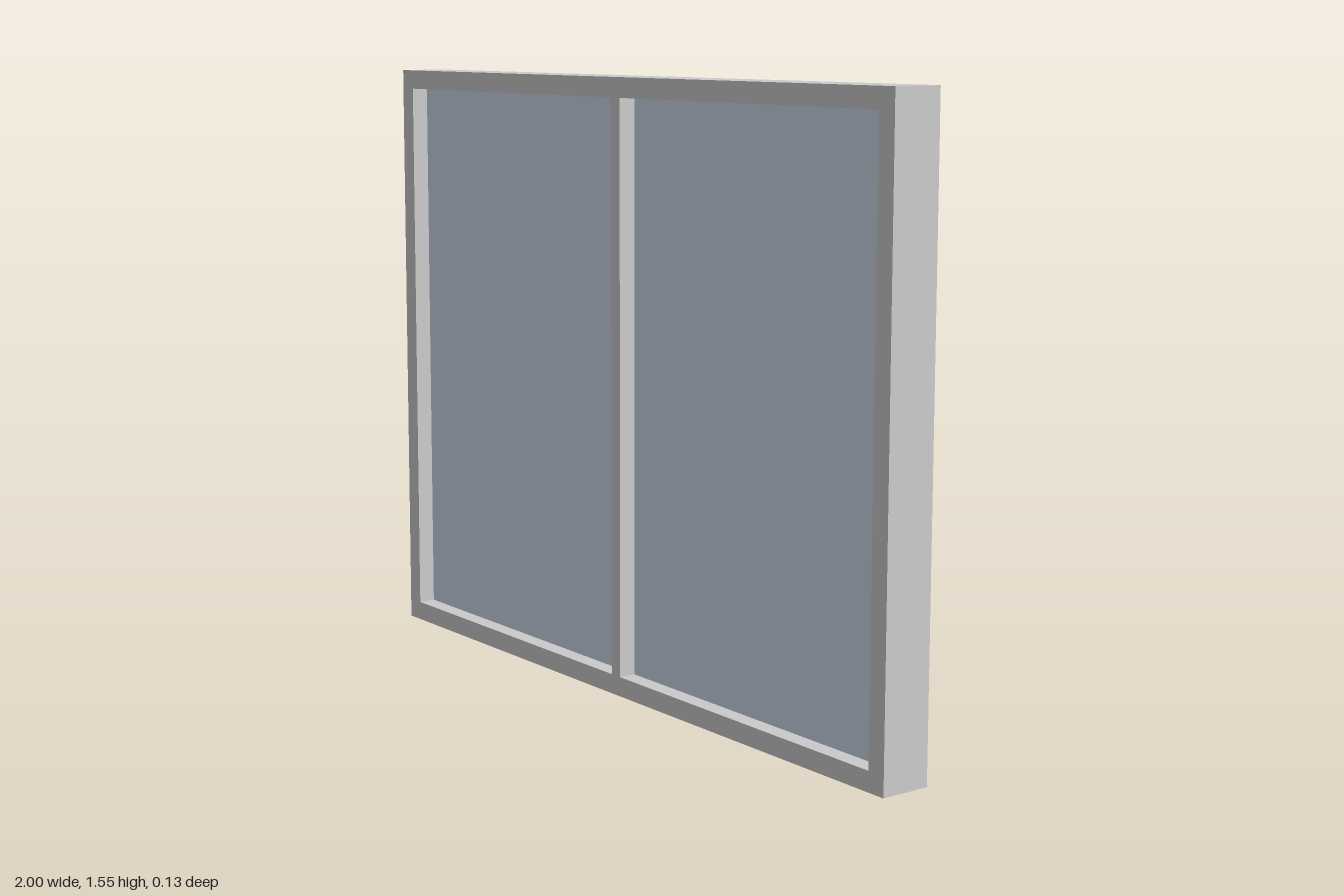
import * as THREE from 'three';

const W = 2, H = 1.55, D = 0.13;   // overall size
const BORDER = 0.05, MULLION = 0.036, GLASS = 0.04;

export function createModel() {
  const group = new THREE.Group();
  group.name = 'window';
  const frameMat = new THREE.MeshStandardMaterial({ color: 0xcccccc });
  const glassMat = new THREE.MeshStandardMaterial({ color: 0xccd9ea });

  const rect = (Type, x0, y0, x1, y1) => new Type([
    new THREE.Vector2(x0, y0), new THREE.Vector2(x1, y0),
    new THREE.Vector2(x1, y1), new THREE.Vector2(x0, y1),
  ]);

  // One-piece frame with a central mullion: a slab with two openings
  const outline = rect(THREE.Shape, -W / 2, 0, W / 2, H);
  const paneW = W / 2 - BORDER - MULLION / 2;
  const paneH = H - 2 * BORDER;

  for (const side of [-1, 1]) {
    const cx = side * (MULLION / 2 + paneW / 2);
    outline.holes.push(rect(THREE.Path, cx - paneW / 2, BORDER, cx + paneW / 2, H - BORDER));

    // Glass pane recessed equally from front and back
    const pane = new THREE.Mesh(new THREE.BoxGeometry(paneW, paneH, GLASS), glassMat);
    pane.name = side > 0 ? 'leftPane' : 'rightPane';
    pane.position.set(cx, H / 2, 0);
    group.add(pane);
  }

  const frameGeo = new THREE.ExtrudeGeometry(outline, { depth: D, bevelEnabled: false });
  frameGeo.translate(0, 0, -D / 2);
  const frame = new THREE.Mesh(frameGeo, frameMat);
  frame.name = 'frame';
  group.add(frame);

  return group;
}
